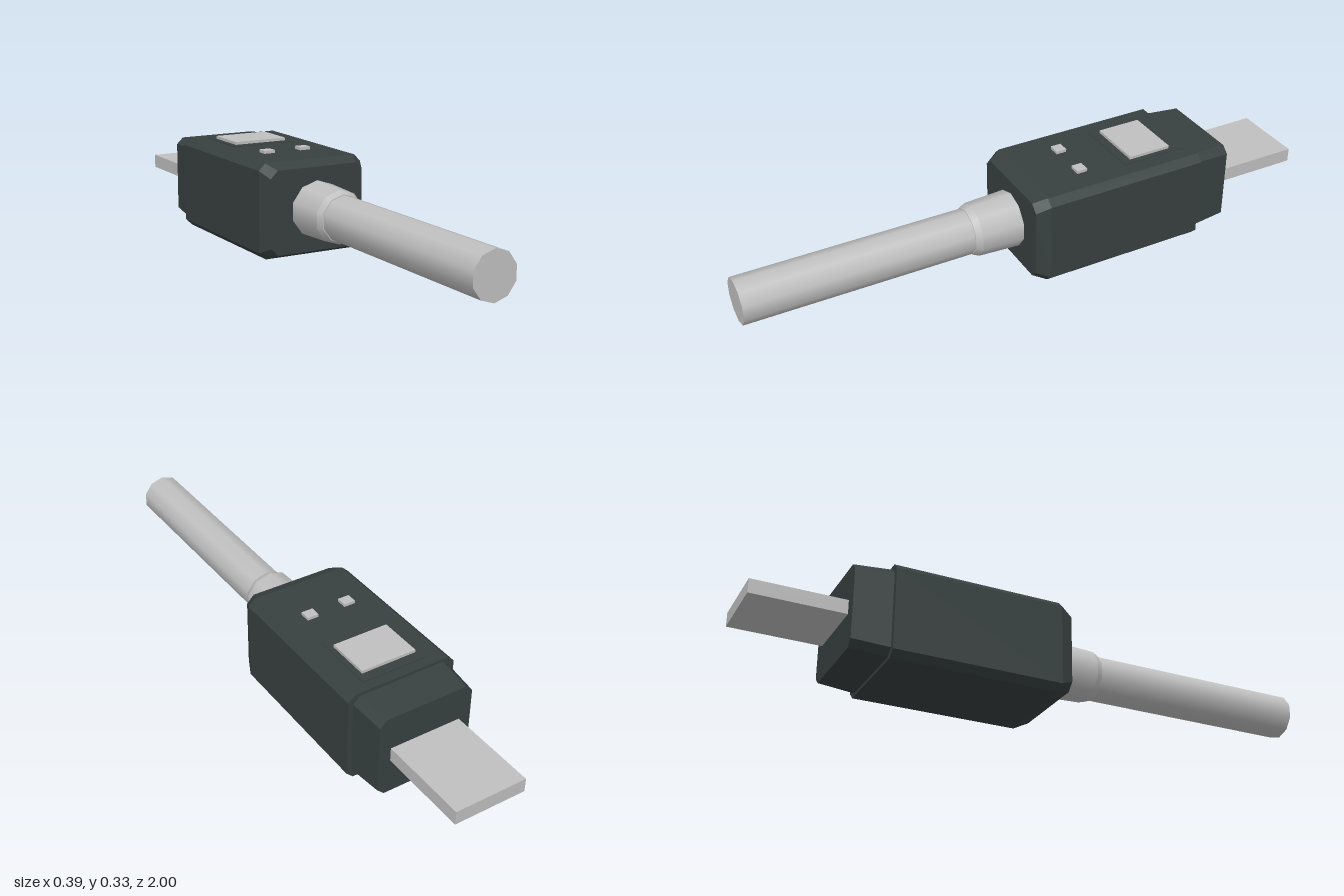
import * as THREE from 'three';

const dark = new THREE.MeshStandardMaterial({ color: 0x384040 });
dark.name = 'charcoal plastic';
const grey = new THREE.MeshStandardMaterial({ color: 0xc0c0c0 });
grey.name = 'light grey';

const MID = 0.161; // height of the centre axis

// Octagon (rectangle with cut corners), counter-clockwise seen from +z
function octagon({ w, h, cx, cy, z }) {
  return [
    [w, -h + cy], [w, h - cy], [w - cx, h], [-w + cx, h],
    [-w, h - cy], [-w, -h + cy], [-w + cx, -h], [w - cx, -h],
  ].map(([x, y]) => [x, y + MID, z]);
}

// Closed, flat-faced loft through octagons listed from front to back
function loft(sections) {
  const rings = sections.map(octagon);
  const pos = [];
  const tri = (...pts) => pts.forEach((p) => pos.push(...p));
  for (let i = 0; i < rings.length - 1; i++) {
    const f = rings[i], b = rings[i + 1];
    for (let j = 0; j < 8; j++) {
      const k = (j + 1) % 8;
      tri(f[j], b[j], f[k]);
      tri(b[j], b[k], f[k]);
    }
  }
  const front = rings[0], back = rings[rings.length - 1];
  for (let j = 1; j < 7; j++) {
    tri(front[0], front[j], front[j + 1]);
    tri(back[0], back[j + 1], back[j]);
  }
  const geo = new THREE.BufferGeometry();
  geo.setAttribute('position', new THREE.Float32BufferAttribute(pos, 3));
  geo.computeVertexNormals();
  return geo;
}

// Ten-sided tube along z between two depths
function rod(rFront, rBack, zFront, zBack) {
  const geo = new THREE.CylinderGeometry(rFront, rBack, zFront - zBack, 10);
  geo.rotateX(Math.PI / 2);
  geo.translate(0, MID, (zFront + zBack) / 2);
  return geo;
}

// Box from its limits on each axis
function box(x0, x1, y0, y1, z0, z1) {
  const geo = new THREE.BoxGeometry(x1 - x0, y1 - y0, z1 - z0);
  geo.translate((x0 + x1) / 2, (y0 + y1) / 2, (z0 + z1) / 2);
  return geo;
}

export function createModel() {
  const group = new THREE.Group();
  const add = (name, geo, mat) => {
    const mesh = new THREE.Mesh(geo, mat);
    mesh.name = name;
    group.add(mesh);
  };

  // Housing with a bevelled front
  add('housing', loft([
    { w: 0.173, h: 0.142, cx: 0.026, cy: 0.026, z: 0.055 },
    { w: 0.193, h: 0.161, cx: 0.024, cy: 0.023, z: 0.01 },
    { w: 0.193, h: 0.161, cx: 0.024, cy: 0.023, z: -0.565 },
  ]), dark);

  // Slightly tapered neck behind the housing
  add('rearNeck', loft([
    { w: 0.176, h: 0.151, cx: 0.024, cy: 0.023, z: -0.56 },
    { w: 0.167, h: 0.143, cx: 0.024, cy: 0.023, z: -0.69 },
  ]), dark);

  // Flat connector blade
  add('plug', box(-0.125, 0.125, 0.14, 0.188, -1, -0.68), grey);

  // Cable and strain relief
  add('cable', rod(0.077, 0.077, 1, 0.2), grey);
  add('strainRelief', rod(0.09, 0.097, 0.2, 0.04), grey);
  add('strainReliefLip', rod(0.08, 0.09, 0.222, 0.2), grey);

  // Display in its thin surround
  add('displaySurround', box(-0.117, 0.117, 0.318, 0.324, -0.53, -0.31), dark);
  add('display', box(-0.098, 0.098, 0.32, 0.334, -0.495, -0.342), grey);

  // Pair of buttons
  for (const [side, name] of [[1, 'leftButton'], [-1, 'rightButton']]) {
    const x = side * 0.069;
    add(name, box(x - 0.02, x + 0.02, 0.318, 0.332, -0.182, -0.145), grey);
  }

  return group;
}
